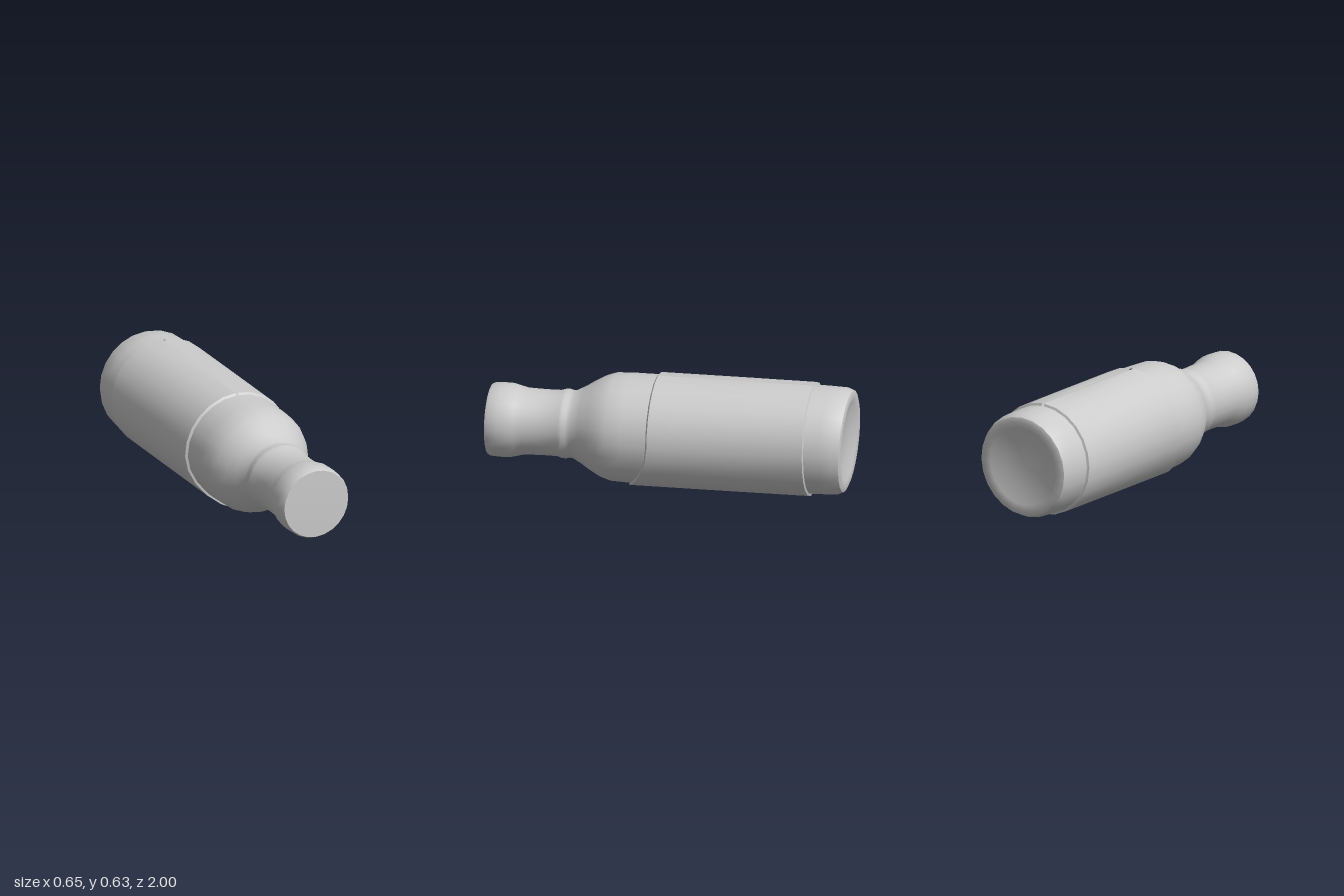
import * as THREE from 'three';
import { toCreasedNormals } from 'three/addons/utils/BufferGeometryUtils.js';

const SIDES = 24;
const AXIS_Y = 0.315;

// Revolve [radius, z] pairs about the z axis, then let a rule adjust each vertex
function turned(profile, start, sweep, rule) {
  const points = profile.map(([r, z]) => new THREE.Vector2(r, z));
  const geometry = new THREE.LatheGeometry(points, SIDES, start, sweep);
  geometry.rotateX(Math.PI / 2);
  const pos = geometry.attributes.position;
  const v = new THREE.Vector3();
  for (let i = 0; i < pos.count; i++) {
    v.fromBufferAttribute(pos, i);
    if (rule) rule(v);
    // the bottle axis leans slightly towards +x at the neck
    v.x += 0.011 + 0.028 * v.z;
    v.y += AXIS_Y;
    pos.setXYZ(i, v.x, v.y, v.z);
  }
  return toCreasedNormals(geometry, 0.75);
}

export function createModel() {
  const group = new THREE.Group();
  const material = new THREE.MeshStandardMaterial({ color: 0xcccccc });
  const labelMaterial = new THREE.MeshStandardMaterial({ color: 0xcccccc, side: THREE.DoubleSide });

  // Glass from dished base to shoulder, neck ring and flared cap
  const bottle = new THREE.Mesh(turned([
    [0, -0.96], [0.14, -0.965], [0.22, -0.985], [0.255, -0.994], [0.28, -0.985],
    [0.295, -0.95], [0.298, -0.88], [0.3, -0.78], [0.302, -0.3], [0.302, 0.22],
    [0.298, 0.31], [0.28, 0.365], [0.25, 0.42], [0.215, 0.475], [0.188, 0.525],
    [0.186, 0.55], [0.192, 0.57], [0.19, 0.59], [0.182, 0.615], [0.181, 0.7],
    [0.184, 0.8], [0.194, 0.84], [0.204, 0.88], [0.205, 0.93],
    [0.202, 0.98], [0.194, 0.995], [0, 1],
  ], 0, Math.PI * 2, (v) => {
    // base is slightly slanted, upper edge furthest back
    if (v.z < -0.9) v.z -= 0.012 * (v.y / 0.3);
  }), material);
  bottle.name = 'bottle';
  group.add(bottle);

  // Wrapped label with a narrow seam on top; its front edge dips forward underneath
  const gap = 0.025;
  const label = new THREE.Mesh(turned([
    [0.299, -0.795], [0.313, -0.79], [0.314, -0.4], [0.314, 0.07], [0.301, 0.08],
  ], Math.PI + gap, Math.PI * 2 - gap * 2, (v) => {
    if (v.z > 0) v.z += 0.15 * Math.max(0, -v.y / 0.31) ** 2;
  }), labelMaterial);
  label.name = 'label';
  group.add(label);

  return group;
}
